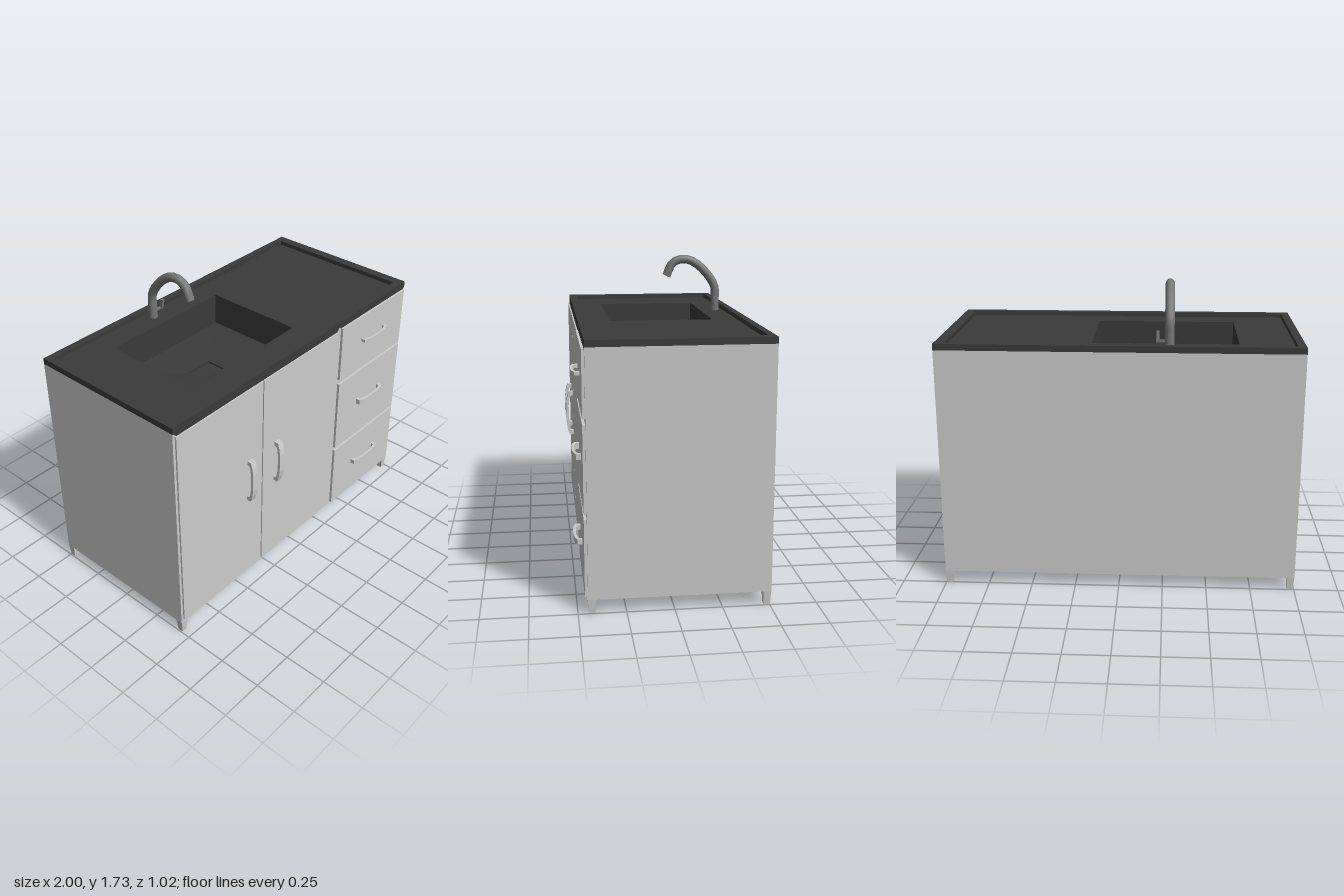
import * as THREE from 'three';

const grey = new THREE.MeshStandardMaterial({ color: 0xcccccc });
const dark = new THREE.MeshStandardMaterial({ color: 0x3a3a3a, side: THREE.DoubleSide });
const darkFlat = new THREE.MeshStandardMaterial({ color: 0x3a3a3a, side: THREE.DoubleSide, flatShading: true });
const metal = new THREE.MeshStandardMaterial({ color: 0x777777, side: THREE.DoubleSide });

const BACK = -0.508, FRONT = 0.45, MID = (BACK + FRONT) / 2;

function part(parent, name, geometry, material = grey) {
  const mesh = new THREE.Mesh(geometry, material);
  mesh.name = name;
  parent.add(mesh);
  return mesh;
}

// box given by its limits
function block(x0, x1, y0, y1, z0, z1) {
  return new THREE.BoxGeometry(x1 - x0, y1 - y0, z1 - z0)
    .translate((x0 + x1) / 2, (y0 + y1) / 2, (z0 + z1) / 2);
}

// horizontal slab with a rectangular hole; rectangles are [x0, x1, z0, z1]
function slabWithHole(outer, hole, y0, y1) {
  const corners = ([x0, x1, z0, z1]) =>
    [[x0, -z0], [x1, -z0], [x1, -z1], [x0, -z1]].map(p => new THREE.Vector2(...p));
  const shape = new THREE.Shape(corners(outer));
  shape.holes.push(new THREE.Path(corners(hole)));
  return new THREE.ExtrudeGeometry(shape, { depth: y1 - y0, bevelEnabled: false })
    .rotateX(-Math.PI / 2).translate(0, y0, 0);
}

// rectangular basin from stacked sections [halfX, halfZ, y], closed at the last one
function basin(cx, cz, sections) {
  const pos = [];
  const rings = sections.map(([hx, hz, y]) =>
    [[-1, -1], [1, -1], [1, 1], [-1, 1]].map(([sx, sz]) => [cx + sx * hx, y, cz + sz * hz]));
  const quad = (a, b, c, d) => pos.push(...a, ...b, ...c, ...a, ...c, ...d);
  for (let i = 0; i + 1 < rings.length; i++) {
    for (let k = 0; k < 4; k++) {
      const n = (k + 1) % 4;
      quad(rings[i][k], rings[i + 1][k], rings[i + 1][n], rings[i][n]);
    }
  }
  const [a, b, c, d] = rings[rings.length - 1];
  quad(a, d, c, b);
  const g = new THREE.BufferGeometry();
  g.setAttribute('position', new THREE.Float32BufferAttribute(pos, 3));
  g.computeVertexNormals();
  return g;
}

// bowed pull lying along x, standing out from z = 0
function handleGeometry(length, height) {
  const h = length / 2;
  const half = [[h, 0], [h, 0.026], [h * 0.72, 0.037], [h * 0.4, 0.043]];
  const inner = [[h * 0.36, 0.028], [h * 0.62, 0.023], [h * 0.8, 0.016], [h * 0.83, 0]];
  const flip = pts => pts.map(([x, z]) => [-x, z]);
  const outline = [...half, ...flip(half).reverse(), ...flip(inner).reverse(), ...inner];
  const shape = new THREE.Shape(outline.map(p => new THREE.Vector2(...p)));
  return new THREE.ExtrudeGeometry(shape, { depth: height, bevelEnabled: false })
    .translate(0, 0, -height / 2).rotateX(Math.PI / 2);
}

export function createModel() {
  const model = new THREE.Group();
  model.name = 'sinkCabinet';

  // cabinet shell, open on top under the counter
  const shell = block(-1, 1, 0.075, 1.38, BACK, FRONT - 0.002);
  const idx = Array.from(shell.index.array);
  idx.splice(12, 6);
  shell.setIndex(idx);
  shell.clearGroups();
  part(model, 'cabinetBody', shell, new THREE.MeshStandardMaterial({ color: 0xcccccc, side: THREE.DoubleSide }));

  // tapered feet
  for (const sx of [-1, 1]) {
    for (const z of [FRONT - 0.022, BACK + 0.022]) {
      const foot = new THREE.CylinderGeometry(0.022 * Math.SQRT2, 0.016 * Math.SQRT2, 0.076, 4, 1)
        .rotateY(Math.PI / 4).toNonIndexed();
      foot.computeVertexNormals();
      part(model, 'foot', foot).position.set(sx * 0.977, 0.038, z);
    }
  }

  // countertop: raised rim, recessed deck and basin
  const deck = [-0.955, 0.945, -0.47, 0.405];
  const sink = [-0.655, 0.155, -0.33, 0.26];
  part(model, 'counterRim', slabWithHole([-1, 1, BACK, FRONT], deck, 1.38, 1.415), dark);
  part(model, 'counterDeck', slabWithHole(deck, sink, 1.381, 1.39), dark);
  part(model, 'sinkBasin', basin(-0.25, -0.035, [
    [0.405, 0.295, 1.385], [0.405, 0.295, 1.2], [0.083, 0.058, 1.175], [0.083, 0.058, 1.165],
  ]), darkFlat);

  // dark chamfered strips above the doors and the drawers
  for (const [x0, x1] of [[-1, 0.345], [0.345, 1]]) {
    const strip = new THREE.Shape([[x0, 1.384], [x0 + 0.025, 1.36], [x1 - 0.025, 1.36], [x1, 1.384]]
      .map(p => new THREE.Vector2(...p)));
    part(model, 'topTrim', new THREE.ExtrudeGeometry(strip, { depth: 0.006, bevelEnabled: false })
      .translate(0, 0, FRONT - 0.006), dark);
  }

  // doors with upright pulls
  for (const [x0, x1, hx] of [[-0.985, -0.335, -0.449], [-0.327, 0.315, -0.219]]) {
    part(model, 'door', block(x0, x1, 0.1, 1.36, FRONT - 0.01, FRONT + 0.008));
    const pull = part(model, 'doorHandle', handleGeometry(0.27, 0.037));
    pull.rotation.z = Math.PI / 2;
    pull.position.set(hx, 0.775, FRONT + 0.014);
  }

  // drawers with level pulls
  for (const [y0, y1, hy, w, h] of [
    [1.02, 1.37, 1.211, 0.233, 0.018], [0.525, 0.99, 0.775, 0.238, 0.032], [0.085, 0.5, 0.312, 0.248, 0.028],
  ]) {
    part(model, 'drawer', block(0.36, 0.98, y0, y1, FRONT - 0.01, FRONT + 0.013));
    part(model, 'drawerHandle', handleGeometry(w, h)).position.set(0.67, hy, FRONT + 0.014);
  }

  // arched faucet
  const FX = -0.272;
  const path = new THREE.CatmullRomCurve3([
    [1.385, -0.42], [1.46, -0.42], [1.535, -0.418], [1.63, -0.355], [1.692, -0.275],
    [1.704, -0.215], [1.678, -0.155], [1.602, -0.12],
  ].map(([y, z]) => new THREE.Vector3(FX, y, z)));
  const faucet = new THREE.Group();
  faucet.name = 'faucet';
  model.add(faucet);
  part(faucet, 'spout', new THREE.TubeGeometry(path, 16, 0.026, 12), metal);
  const tip = part(faucet, 'spoutEnd', new THREE.CircleGeometry(0.026, 12), metal);
  tip.position.copy(path.getPoint(1));
  tip.quaternion.setFromUnitVectors(new THREE.Vector3(0, 0, 1), path.getTangent(1));

  // side lever
  part(faucet, 'leverArm', block(FX + 0.015, -0.2, 1.419, 1.431, -0.425, -0.413), metal);
  const lever = part(faucet, 'lever', block(-0.008, 0.008, 0, 0.062, -0.008, 0.008), metal);
  lever.position.set(-0.208, 1.419, -0.417);
  lever.rotation.x = 0.2;

  return model;
}
